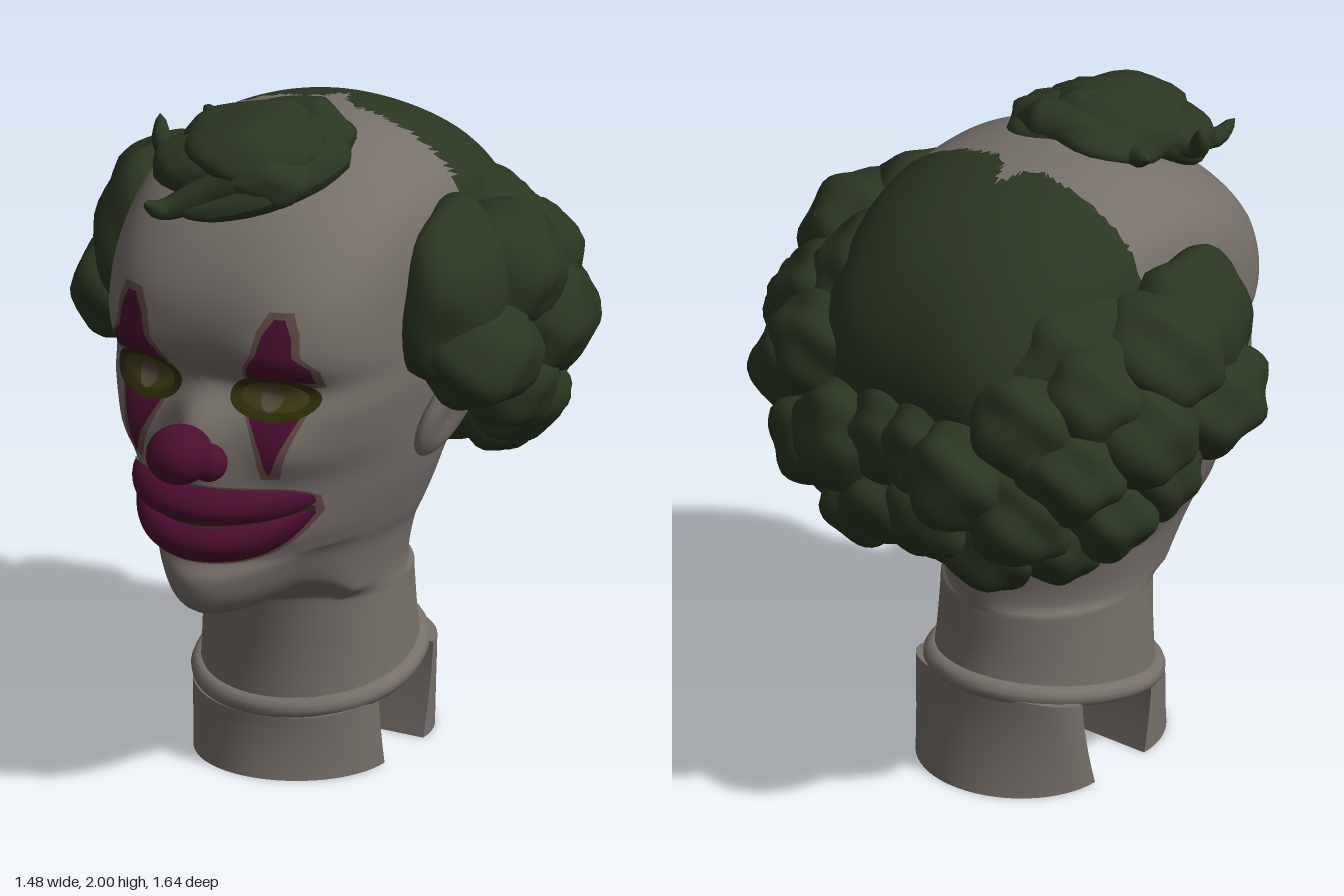
import * as THREE from 'three';
import { mergeVertices, toCreasedNormals } from 'three/addons/utils/BufferGeometryUtils.js';

const flat = (name, color, side = THREE.FrontSide) => {
  const m = new THREE.MeshStandardMaterial({ color, side });
  m.name = name;
  return m;
};

// Head and neck sections: height, half width, front z, back depth, squareness
const SECTIONS = [
  [0.22, 0.305, 0.3, 0.37, 2], [0.36, 0.3, 0.285, 0.345, 2], [0.5, 0.295, 0.29, 0.33, 2],
  [0.535, 0.295, 0.31, 0.325, 2], [0.55, 0.295, 0.42, 0.325, 1.8], [0.57, 0.295, 0.57, 0.325, 1.7],
  [0.62, 0.3, 0.66, 0.325, 1.7], [0.7, 0.315, 0.68, 0.33, 1.8], [0.76, 0.34, 0.645, 0.34, 1.9],
  [0.82, 0.36, 0.655, 0.37, 2], [0.9, 0.385, 0.665, 0.42, 2], [1.0, 0.405, 0.645, 0.5, 2.2],
  [1.1, 0.42, 0.615, 0.57, 2.8], [1.2, 0.435, 0.59, 0.62, 3.2], [1.28, 0.44, 0.565, 0.65, 3.3],
  [1.36, 0.445, 0.605, 0.67, 3.3], [1.45, 0.448, 0.612, 0.67, 3.2], [1.55, 0.448, 0.585, 0.64, 3],
  [1.65, 0.438, 0.52, 0.58, 2.7], [1.74, 0.405, 0.43, 0.5, 2.4], [1.81, 0.335, 0.32, 0.4, 2.2],
  [1.86, 0.24, 0.21, 0.29, 2.1], [1.89, 0.13, 0.11, 0.16, 2], [1.9, 0.001, 0.001, 0.001, 2],
];
const LAST = SECTIONS.length - 1;

// Smooth section at a fractional row
function section(t) {
  const i = Math.min(Math.floor(t), LAST - 1), k = t - i;
  const row = (j) => SECTIONS[Math.max(0, Math.min(LAST, j))];
  const [a, b, c, d] = [row(i - 1), row(i), row(i + 1), row(i + 2)];
  return b.map((p, n) => p + 0.5 * k * (c[n] - a[n]
    + k * (2 * a[n] - 5 * p + 4 * c[n] - d[n] + k * (3 * (p - c[n]) + d[n] - a[n]))));
}

// Facial relief: sockets, cheeks, brows, nose bridge
const bump = (x, y, cx, cy, sx, sy) => Math.exp(-(((x - cx) / sx) ** 2) - ((y - cy) / sy) ** 2);
function relief(x, y) {
  const a = Math.abs(x);
  return -0.04 * bump(a, y, 0.2, 1.26, 0.1, 0.06) + 0.025 * bump(a, y, 0.26, 1.09, 0.09, 0.08)
    + 0.01 * bump(a, y, 0.2, 1.38, 0.1, 0.05) + 0.08 * bump(x, y, 0, 1.15, 0.075, 0.1);
}

// Front surface of the face at x, y
function faceZ(x, y) {
  let lo = 0, hi = LAST;
  for (let i = 0; i < 30; i++) {
    const mid = (lo + hi) / 2;
    if (section(mid)[0] < y) lo = mid; else hi = mid;
  }
  const [, w, f, , n] = section(lo);
  return f * Math.max(0, 1 - Math.abs(x / w) ** n) ** (1 / n) + relief(x, y);
}

const clamp01 = (v) => THREE.MathUtils.clamp(v, 0, 1);
const isHair = (x, y, z) => z < -0.13 - 0.1 * bump(x, 0, 0, 0, 0.035, 1)
  && y > Math.max(0.85, 1.15 + (z + 0.13) * 1.6);

function headGeometry() {
  const around = 128, rows = LAST * 5, pos = [], skin = [], hair = [];
  for (let i = 0; i <= rows; i++) {
    const [y, w, f, b, n] = section(i / 5);
    for (let j = 0; j < around; j++) {
      const a = (j / around) * Math.PI * 2, s = Math.sin(a), c = Math.cos(a);
      const r = ((Math.abs(s) / w) ** n + (Math.abs(c) / (c > 0 ? f : b)) ** n) ** (-1 / n);
      let x = r * s, z = r * c;
      if (c > 0) z += relief(x, y);
      if (isHair(x, y, z)) { x *= 1.03; z *= 1.03; }
      // the jaw line curves up to the sides, and the foot of the neck is cut at a slant
      const jaw = 2 * x * x * clamp01((0.76 - y) / 0.2) * clamp01((z - 0.2) / 0.2);
      pos.push(x, y + jaw - 0.18 * z * Math.max(0, (0.5 - y) / 0.28), z);
    }
  }
  const put = (...tri) => {
    const mid = [0, 1, 2].map((k) => tri.reduce((sum, v) => sum + pos[v * 3 + k] / 3, 0));
    (isHair(...mid) ? hair : skin).push(...tri);
  };
  for (let i = 0; i < rows; i++) for (let j = 0; j < around; j++) {
    const p = i * around + j, q = i * around + (j + 1) % around;
    put(p, q, p + around);
    put(q, q + around, p + around);
  }
  // neck underside
  const centre = pos.length / 3;
  pos.push(0, 0.22, 0);
  for (let j = 0; j < around; j++) skin.push(centre, (j + 1) % around, j);
  const g = new THREE.BufferGeometry();
  g.setAttribute('position', new THREE.Float32BufferAttribute(pos, 3));
  g.setIndex([...skin, ...hair]);
  g.addGroup(0, skin.length, 0);
  g.addGroup(skin.length, hair.length, 1);
  g.computeVertexNormals();
  return g;
}

// Move every vertex by a rule
function reshape(g, rule) {
  const p = g.attributes.position, v = new THREE.Vector3();
  for (let i = 0; i < p.count; i++) {
    v.fromBufferAttribute(p, i);
    rule(v, i);
    p.setXYZ(i, v.x, v.y, v.z);
  }
  g.computeVertexNormals();
  return g;
}

// Lumpy curl of hair
function curlGeometry(x, y, z, rx, ry, rz) {
  const g = new THREE.SphereGeometry(1, 28, 20);
  g.deleteAttribute('uv');
  g.deleteAttribute('normal');
  return reshape(mergeVertices(g, 1e-4), (v) => {
    v.multiplyScalar(1 + 0.07 * Math.sin(4 * v.x + 17 * y) * Math.sin(5 * v.y + 13 * z)
      + 0.05 * Math.sin(7 * v.z + 11 * x + 4 * v.y));
    v.set(x + v.x * rx, y + v.y * ry, z + v.z * rz);
  });
}

// Tapered lock of hair
function lockGeometry(points, radius) {
  const curve = new THREE.CatmullRomCurve3(points.map((p) => new THREE.Vector3(...p)));
  const g = new THREE.TubeGeometry(curve, 30, radius, 12);
  return reshape(g, (v, i) => {
    const t = Math.floor(i / 13) / 30, c = curve.getPointAt(t);
    v.sub(c).multiplyScalar(Math.sqrt(1 - t) * Math.min(1, 0.2 + 5 * t)).add(c);
  });
}

export function createModel() {
  const model = new THREE.Group();
  model.name = 'clownHead';
  const skin = flat('skin', 0x77706a), hair = flat('greenHair', 0x2b3721);
  const paint = flat('magentaPaint', 0x4c0e30, THREE.DoubleSide);
  const edge = flat('brownEdge', 0x604a44, THREE.DoubleSide);
  const olive = flat('olive', 0x2e2d0a, THREE.DoubleSide);
  const eyeTone = flat('eyeTone', 0x443e17, THREE.DoubleSide), iris = flat('iris', 0x5a4b3a, THREE.DoubleSide);
  const add = (name, geometry, material) => {
    const m = new THREE.Mesh(geometry, material);
    m.name = name;
    model.add(m);
    return m;
  };
  // Thin plate laid on the face; point(u, v) gives x, y and lift for u, v in -1..1
  const patch = (name, material, point, nu = 16, nv = 16) => add(name, reshape(new THREE.PlaneGeometry(2, 2, nu, nv), (p) => {
    const [x, y, lift] = point(p.x, p.y);
    p.set(x, y, faceZ(x, y) + lift);
  }), material);
  const disc = (cx, cy, rx, ry, lift, bulge = 0) => (u, v) => [cx + rx * u * Math.sqrt(Math.max(0, 1 - v * v)),
    cy + ry * v, lift + bulge * (1 - v * v) * (1 - u * u)];
  // rows of [y, inner x, outer x], lowest first
  const rowsShape = (rows, s, grow, lift) => (u, v) => {
    const t = (v + 1) / 2 * (rows.length - 1), i = Math.min(Math.floor(t), rows.length - 2), k = t - i;
    const [y, a, b] = rows[i].map((q, n) => q + (rows[i + 1][n] - q) * k);
    const half = (b - a) / 2 + grow;
    return [s * (a + b) / 2 + u * half, y + v * grow, lift];
  };

  add('headAndNeck', headGeometry(), [skin, hair]);

  // Slanted collar ring
  const ring = Array.from({ length: 32 }, (_, i) => {
    const a = (i / 32) * Math.PI * 2, c = Math.cos(a), z = c * (c > 0 ? 0.295 : 0.365);
    return new THREE.Vector3(0.298 * Math.sin(a), 0.25 - 0.18 * z, z);
  });
  add('collarRing', new THREE.TubeGeometry(new THREE.CatmullRomCurve3(ring, true), 96, 0.032, 12, true), skin);

  // Half-round feet under the neck, flared at the bottom, with slanted tops
  const foot = (name, dir, cut, depth, flare) => {
    const shape = new THREE.Shape(Array.from({ length: 33 }, (_, i) => {
      const a = (i / 32) * Math.PI;
      return new THREE.Vector2(0.29 * Math.cos(a), -(cut + dir * depth * Math.sin(a)));
    }));
    const g = new THREE.ExtrudeGeometry(shape, { depth: 1, steps: 10, bevelEnabled: false }).rotateX(-Math.PI / 2);
    const mid = cut + dir * depth / 2;
    reshape(g, (v) => {
      const t = v.y;
      v.y = t * (0.235 - 0.18 * v.z);
      v.z = mid + (v.z - mid) * (1 + flare * Math.max(0, 1 - t) ** 1.5);
    });
    add(name, toCreasedNormals(g, 0.6), skin);
  };
  foot('frontFoot', 1, 0.1, 0.22, 0.3);
  foot('backFoot', -1, -0.21, 0.16, 0.7);

  // Red nose with wings
  add('nose', new THREE.SphereGeometry(1, 32, 24).scale(0.095, 0.085, 0.1).translate(0, 1.107, 0.73), paint);

  const upperPaint = [[1.31, 0.13, 0.32], [1.36, 0.15, 0.32], [1.4, 0.18, 0.28], [1.46, 0.195, 0.275], [1.51, 0.225, 0.255]];
  const lowerPaint = [[1.04, 0.21, 0.218], [1.1, 0.195, 0.24], [1.15, 0.17, 0.26], [1.22, 0.13, 0.29]];
  for (const s of [1, -1]) {
    const side = s > 0 ? 'left' : 'right';
    add(side + 'NoseWing', new THREE.SphereGeometry(0.055, 20, 14).translate(s * 0.068, 1.08, 0.685), paint);
    // Eyes and their face paint
    for (const [label, rows] of [['UpperEyePaint', upperPaint], ['LowerEyePaint', lowerPaint]]) {
      patch(side + label + 'Edge', edge, rowsShape(rows, s, 0.018, 0.005));
      patch(side + label, paint, rowsShape(rows, s, 0, 0.009));
    }
    patch(side + 'EyeRim', olive, disc(s * 0.205, 1.258, 0.125, 0.067, 0.013));
    patch(side + 'Eye', eyeTone, disc(s * 0.205, 1.258, 0.095, 0.045, 0.015, 0.015));
    patch(side + 'Iris', iris, disc(s * 0.2, 1.258, 0.032, 0.038, 0.032));
    // Ear
    const ear = add(side + 'Ear', reshape(new THREE.SphereGeometry(1, 24, 18), (v) => {
      const hollow = 0.6 * Math.exp(-(v.y * v.y + v.z * v.z) * 4);
      v.set(v.x * 0.04 * (v.x * s > 0 ? 1 - hollow : 1), v.y * 0.15, v.z * 0.09);
    }), skin);
    ear.position.set(s * 0.465, 1.09, 0.02);
    ear.rotation.set(-0.5, 0, -0.35 * s);
  }

  // Mouth and lips
  const lip = (top, bottom, width, bulge) => (u, v) => {
    const k = (v + 1) / 2;
    return [width * u, bottom(u) + (top(u) - bottom(u)) * k,
      0.009 + bulge * (1 - u ** 6) * Math.max(0, Math.sin(Math.PI * k)) ** 0.6];
  };
  patch('mouthPaintEdge', edge, lip((u) => 0.995 - 0.05 * u ** 8, (u) => 0.755 + 0.14 * u ** 4, 0.3, -0.003), 32, 12);
  patch('mouthGap', olive, disc(0, 0.91, 0.29, 0.045, 0.012), 32, 8);
  patch('upperLip', paint, lip((u) => 0.99 - 0.04 * u ** 8, (u) => 0.886 + 0.04 * u ** 6, 0.29, 0.06), 40, 16);
  patch('lowerLip', paint, lip((u) => 0.878 + 0.03 * u * u, (u) => 0.76 + 0.13 * u ** 4, 0.285, 0.06), 40, 16);

  // Curls around the sides and back: x, y, z, radii
  const curls = [
    [0.48, 1.43, -0.01, 0.17, 0.27, 0.25], [0.57, 1.28, 0.0, 0.16, 0.16, 0.2], [0.53, 1.48, -0.16, 0.19, 0.19, 0.2],
    [0.58, 1.3, -0.3, 0.155, 0.17, 0.18], [0.54, 1.13, -0.2, 0.14, 0.15, 0.14], [0.47, 1.42, -0.4, 0.16, 0.17, 0.18],
    [0.49, 1.04, -0.34, 0.14, 0.15, 0.15], [0.48, 1.24, -0.5, 0.16, 0.16, 0.16], [0.36, 1.36, -0.56, 0.17, 0.16, 0.15],
    [0.38, 0.94, -0.42, 0.13, 0.13, 0.13], [0.36, 1.08, -0.57, 0.16, 0.16, 0.15], [0.22, 0.92, -0.53, 0.15, 0.14, 0.14],
    [0.2, 1.18, -0.66, 0.16, 0.17, 0.15], [0.08, 1.02, -0.62, 0.15, 0.15, 0.14], [0.06, 1.22, -0.64, 0.14, 0.16, 0.13],
    [0.07, 0.91, -0.5, 0.13, 0.12, 0.13], [0.35, 1.5, -0.33, 0.17, 0.18, 0.24],
  ];
  for (const s of [1, -1]) for (const [x, ...rest] of curls) add(s > 0 ? 'leftCurl' : 'rightCurl', curlGeometry(s * x, ...rest), hair);

  // Forelock on top of the forehead
  const forelock = [
    [-0.03, 1.87, 0.24, 0.21, 0.115, 0.23], [0.09, 1.88, 0.13, 0.13, 0.08, 0.13],
    [0.06, 1.83, 0.34, 0.14, 0.08, 0.12], [-0.14, 1.83, 0.36, 0.14, 0.085, 0.13],
  ];
  for (const lump of forelock) add('forelock', curlGeometry(...lump), hair);
  const locks = [
    [[0.16, 1.88, 0.2], [0.06, 1.85, 0.38], [-0.08, 1.79, 0.46], [-0.17, 1.75, 0.53], [-0.19, 1.79, 0.6]],
    [[0.1, 1.92, 0.1], [-0.05, 1.92, 0.22], [-0.2, 1.86, 0.3], [-0.28, 1.85, 0.32], [-0.32, 1.93, 0.28]],
    [[0.17, 1.88, 0.08], [0.16, 1.84, 0.26], [0.09, 1.8, 0.4], [-0.02, 1.76, 0.48], [-0.12, 1.74, 0.52]],
    [[0.16, 1.91, 0.06], [-0.03, 1.91, 0.1], [-0.18, 1.87, 0.14], [-0.28, 1.9, 0.1]],
  ];
  for (const points of locks) add('forelockStrand', lockGeometry(points, 0.08), hair);

  return model;
}
